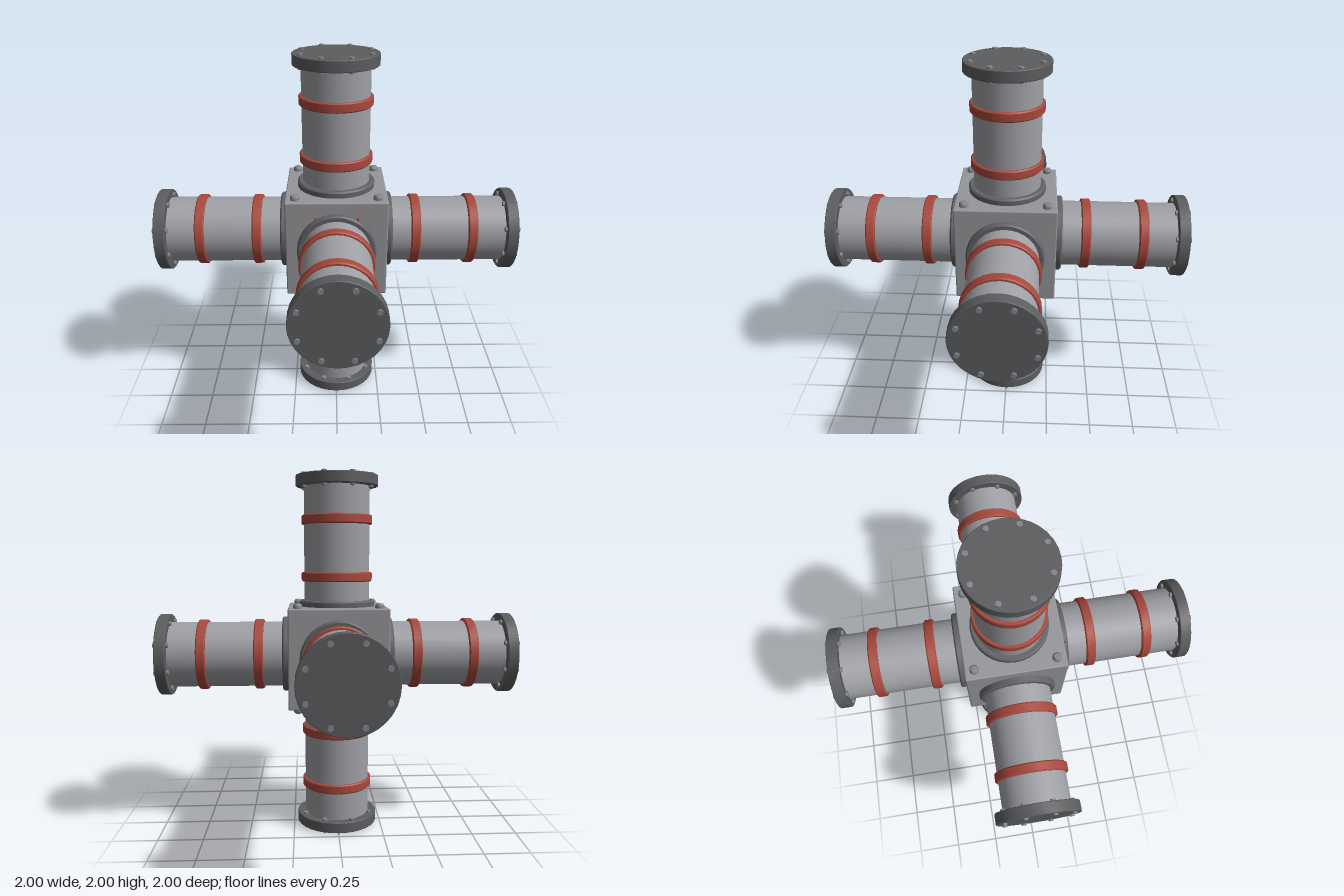
import * as THREE from 'three';
import { RoundedBoxGeometry } from 'three/addons/geometries/RoundedBoxGeometry.js';
import { toCreasedNormals } from 'three/addons/utils/BufferGeometryUtils.js';

const material = (name, color) => new THREE.MeshStandardMaterial({ name, color });

export function createModel() {
  const hubGrey = material('hub grey', 0x96979b);
  const pipeGrey = material('pipe grey', 0x9fa0a5);
  const flangeGrey = material('flange dark grey', 0x5c5d5f);
  const collarGrey = material('collar grey', 0x626367);
  const boltGrey = material('bolt grey', 0x85868a);
  const red = material('band red', 0xa8483c);

  const model = new THREE.Group();
  model.name = 'sixWayJunction';

  const add = (parent, name, geometry, mat, x = 0, y = 0, z = 0) => {
    const mesh = new THREE.Mesh(geometry, mat);
    mesh.name = name;
    mesh.position.set(x, y, z);
    parent.add(mesh);
    return mesh;
  };

  // Solid disc along y with chamfered rims, base at y = 0
  const disc = (radius, height, bevel) => toCreasedNormals(new THREE.LatheGeometry([
    [0, 0], [radius - bevel, 0], [radius, bevel],
    [radius, height - bevel], [radius - bevel, height], [0, height],
  ].map(([x, y]) => new THREE.Vector2(x, y)), 32), 0.5);

  const pipeGeo = new THREE.CylinderGeometry(0.183, 0.183, 0.68, 32, 1, true);
  const collarGeo = disc(0.212, 0.045, 0.008);
  const bandGeo = disc(0.198, 0.052, 0.006);
  const flangeGeo = disc(0.228, 0.06, 0.003);
  const boltGeo = new THREE.CylinderGeometry(0.014, 0.014, 0.08, 10);

  // One arm pointing along +y from the hub centre
  const makeArm = (name) => {
    const arm = new THREE.Group();
    arm.name = name;
    add(arm, 'pipe', pipeGeo, pipeGrey, 0, 0.6, 0);
    add(arm, 'collar', collarGeo, collarGrey, 0, 0.262, 0);
    for (const y of [0.437, 0.75]) add(arm, 'band', bandGeo, red, 0, y - 0.026, 0);
    add(arm, 'flange', flangeGeo, flangeGrey, 0, 0.931, 0);
    for (let i = 0; i < 8; i++) {
      const a = (i + 0.5) * Math.PI / 4;
      add(arm, 'flangeBolt', boltGeo, boltGrey, Math.cos(a) * 0.196, 0.96, Math.sin(a) * 0.196);
    }
    arm.position.y = 1;
    model.add(arm);
    return arm;
  };

  const q = Math.PI / 2;
  makeArm('topArm');
  makeArm('bottomArm').rotation.x = Math.PI;
  makeArm('frontArm').rotation.x = q;
  makeArm('backArm').rotation.x = -q;
  makeArm('leftArm').rotation.z = -q;
  makeArm('rightArm').rotation.z = q;

  // Central cube
  add(model, 'hub', new RoundedBoxGeometry(0.546, 0.546, 0.546, 2, 0.008), hubGrey, 0, 1, 0);

  // Corner bolts on the top and bottom of the cube
  const cornerGeo = toCreasedNormals(new THREE.LatheGeometry([
    [0.025, 0], [0.025, 0.016], [0.018, 0.026], [0, 0.028],
  ].map(([x, y]) => new THREE.Vector2(x, y)), 14), 0.6);
  for (const side of [1, -1]) for (const x of [-0.22, 0.22]) for (const z of [-0.22, 0.22]) {
    const bolt = add(model, 'cornerBolt', cornerGeo, boltGrey, x, 1 + side * 0.272, z);
    if (side < 0) bolt.rotation.x = Math.PI;
  }

  // Small red marker pins above the front collar
  const pinGeo = new THREE.CylinderGeometry(0.006, 0.006, 0.02, 8);
  for (const x of [-0.112, 0.112]) add(model, 'markerPin', pinGeo, red, x, 1.187, 0.284).rotation.x = q;

  return model;
}
